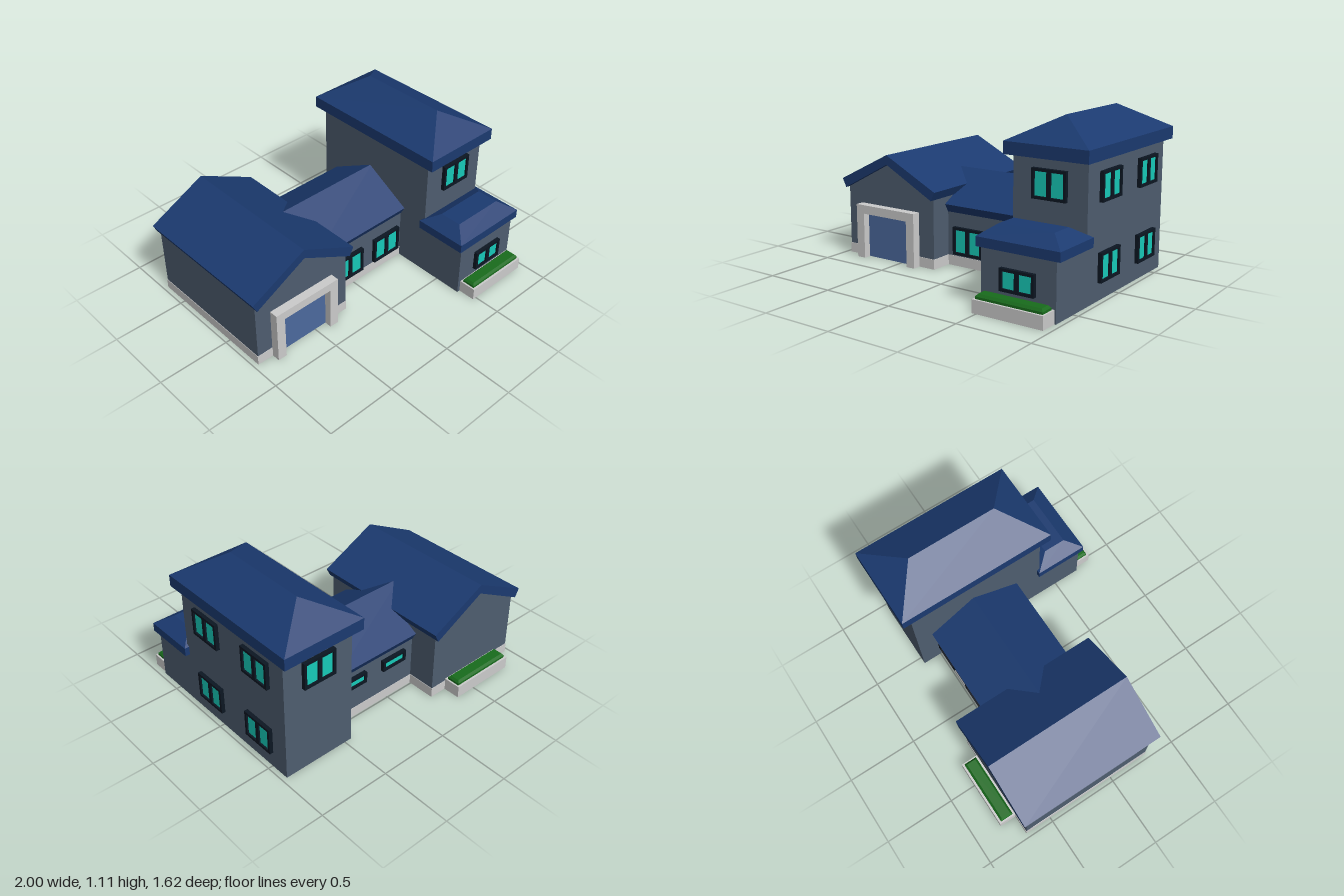
import * as THREE from 'three';

const mat = (color) => new THREE.MeshStandardMaterial({ color, flatShading: true });

export function createModel() {
  const house = new THREE.Group();
  house.name = 'house';
  const wall = mat(0x4e5d6f), roof = mat(0x1b3a70), frame = mat(0x0c1622), glass = mat(0x17cab9);
  const stone = mat(0xcccccc), doorBlue = mat(0x4c6a9e), green = mat(0x186c1c);

  const add = (name, geometry, material, parent = house) => {
    const mesh = new THREE.Mesh(geometry, material);
    mesh.name = name;
    parent.add(mesh);
    return mesh;
  };

  // Box given by its limits on each axis
  const box = (name, [x0, x1], [y0, y1], [z0, z1], material, parent) => {
    const mesh = add(name, new THREE.BoxGeometry(x1 - x0, y1 - y0, z1 - z0), material, parent);
    mesh.position.set((x0 + x1) / 2, (y0 + y1) / 2, (z0 + z1) / 2);
    return mesh;
  };

  // Box whose top face is pulled in to the limits tx, tz
  const taper = (name, [x0, x1], [y0, y1], [z0, z1], tx, tz, material, parent) => {
    const g = new THREE.BoxGeometry(1, 1, 1).toNonIndexed();
    const p = g.attributes.position;
    for (let i = 0; i < p.count; i++) {
      const top = p.getY(i) > 0, right = p.getX(i) > 0 ? 1 : 0, front = p.getZ(i) > 0 ? 1 : 0;
      p.setXYZ(i, (top ? tx : [x0, x1])[right], top ? y1 : y0, (top ? tz : [z0, z1])[front]);
    }
    g.computeVertexNormals();
    return add(name, g, material, parent);
  };

  // Extrude a symmetric profile, given as its right half from top to bottom
  const extrude = (points, depth) => {
    const shape = new THREE.Shape(points.map(([x, y]) => new THREE.Vector2(x, y)));
    return new THREE.ExtrudeGeometry(shape, { depth, bevelEnabled: false });
  };
  const gableWall = (w, eave, apex, depth) =>
    extrude([[-w, 0], [w, 0], [w, eave], [0, apex], [-w, eave]], depth);
  const gableRoof = ([w, e], apex, [iw, ie], innerApex, depth) =>
    extrude([[0, apex], [-w, e], [-iw, ie], [0, innerApex], [iw, ie], [w, e]], depth);

  // Framed window facing +z, centred on its wall point
  const makeWindow = (name, w, h, panes, x, y, z, turn = 0) => {
    const g = new THREE.Group();
    g.name = name;
    const rim = 0.018, mullion = 0.028, d = 0.026;
    const paneW = (w - 2 * rim - (panes - 1) * mullion) / panes;
    const outline = new THREE.Shape();
    outline.moveTo(-w / 2, -h / 2).lineTo(w / 2, -h / 2).lineTo(w / 2, h / 2).lineTo(-w / 2, h / 2).closePath();
    for (let i = 0; i < panes; i++) {
      const a = -w / 2 + rim + i * (paneW + mullion), b = a + paneW, t = h / 2 - rim;
      outline.holes.push(new THREE.Path().moveTo(a, -t).lineTo(a, t).lineTo(b, t).lineTo(b, -t).closePath());
      box('windowPane', [a, b], [-t, t], [0, 0.014], glass, g);
    }
    add('windowFrame', new THREE.ExtrudeGeometry(outline, { depth: d, bevelEnabled: false }), frame, g);
    g.position.set(x, y, z);
    g.rotation.y = turn;
    house.add(g);
  };

  // Garage wing with a gable facing the front
  const gx = -0.593;
  add('garageWalls', gableWall(0.372, 0.485, 0.685, 0.98), wall).position.set(gx, 0, -0.69);
  add('garageRoof', gableRoof([0.407, 0.535], 0.74, [0.377, 0.475], 0.675, 1.043), roof).position.set(gx, 0, -0.72);
  box('garagePlinth', [gx - 0.375, gx + 0.375], [0.001, 0.07], [-0.693, 0.293], stone);

  // Garage door with its stone surround
  box('garageDoor', [-0.79, -0.405], [0.002, 0.32], [0.28, 0.3], doorBlue);
  const surround = new THREE.Shape(
    [[-0.85, 0], [-0.785, 0], [-0.785, 0.315], [-0.41, 0.315], [-0.41, 0], [-0.345, 0], [-0.345, 0.375], [-0.85, 0.375]]
      .map(([x, y]) => new THREE.Vector2(x, y)));
  add('garageDoorSurround', new THREE.ExtrudeGeometry(surround, { depth: 0.065, bevelEnabled: false }), stone)
    .position.z = 0.285;

  // Link between garage and tower, its ridge running sideways into the garage roof
  const lz = -0.178;
  const linkWalls = add('linkWalls', gableWall(0.31, 0.375, 0.56, 0.72), wall);
  linkWalls.position.set(-0.25, 0, lz);
  const linkRoof = add('linkRoof', gableRoof([0.343, 0.425], 0.615, [0.313, 0.37], 0.55, 0.87), roof);
  linkRoof.position.set(-0.4, 0, lz);
  linkWalls.rotation.y = linkRoof.rotation.y = Math.PI / 2;
  box('linkPlinth', [-0.24, 0.452], [0.001, 0.07], [lz - 0.313, lz + 0.313], stone);
  for (const x of [-0.047, 0.298]) {
    makeWindow('linkFrontWindow', 0.237, 0.19, 2, x, 0.18, lz + 0.31);
    makeWindow('linkBackWindow', 0.2, 0.08, 1, x + 0.005, 0.29, lz - 0.31, Math.PI);
  }

  // Two-storey tower with a hipped roof
  box('towerWalls', [0.45, 0.965], [0, 0.88], [-0.635, 0.355], wall);
  box('towerEaves', [0.416, 1], [0.87, 0.95], [-0.7, 0.417], roof);
  taper('towerRoof', [0.416, 1], [0.95, 1.105], [-0.7, 0.417], [0.708, 0.708], [-0.457, 0.174], roof);
  for (const y of [0.21, 0.705])
    for (const z of [0.098, -0.39])
      makeWindow('towerSideWindow', 0.24, 0.187, 2, 0.965, y, z, Math.PI / 2);
  makeWindow('towerFrontWindow', 0.237, 0.187, 2, 0.712, 0.71, 0.355);
  makeWindow('towerBackWindow', 0.237, 0.187, 2, 0.712, 0.71, -0.635, Math.PI);

  // Low front bay with a flat-topped hipped roof
  box('bayWalls', [0.45, 0.965], [0, 0.38], [0.34, 0.69], wall);
  box('bayEaves', [0.422, 0.998], [0.37, 0.43], [0.335, 0.707], roof);
  taper('bayRoof', [0.422, 0.998], [0.43, 0.5], [0.335, 0.707], [0.515, 0.893], [0.445, 0.6], roof);
  makeWindow('bayWindow', 0.237, 0.14, 2, 0.712, 0.202, 0.69);

  // Planters with clipped hedges, at the bay front and garage back
  const planter = (x0, x1, z0, z1) => {
    const g = new THREE.Group();
    g.name = 'planter';
    house.add(g);
    box('planterBox', [x0, x1], [0, 0.085], [z0, z1], stone, g);
    box('hedgeBase', [x0 + 0.012, x1 - 0.012], [0.08, 0.1], [z0 + 0.015, z1 - 0.015], green, g);
    taper('hedgeTop', [x0 + 0.012, x1 - 0.012], [0.1, 0.116], [z0 + 0.015, z1 - 0.015],
      [x0 + 0.025, x1 - 0.025], [z0 + 0.028, z1 - 0.028], green, g);
  };
  planter(0.472, 0.955, 0.69, 0.812);
  planter(-0.832, -0.347, -0.812, -0.69);

  return house;
}
